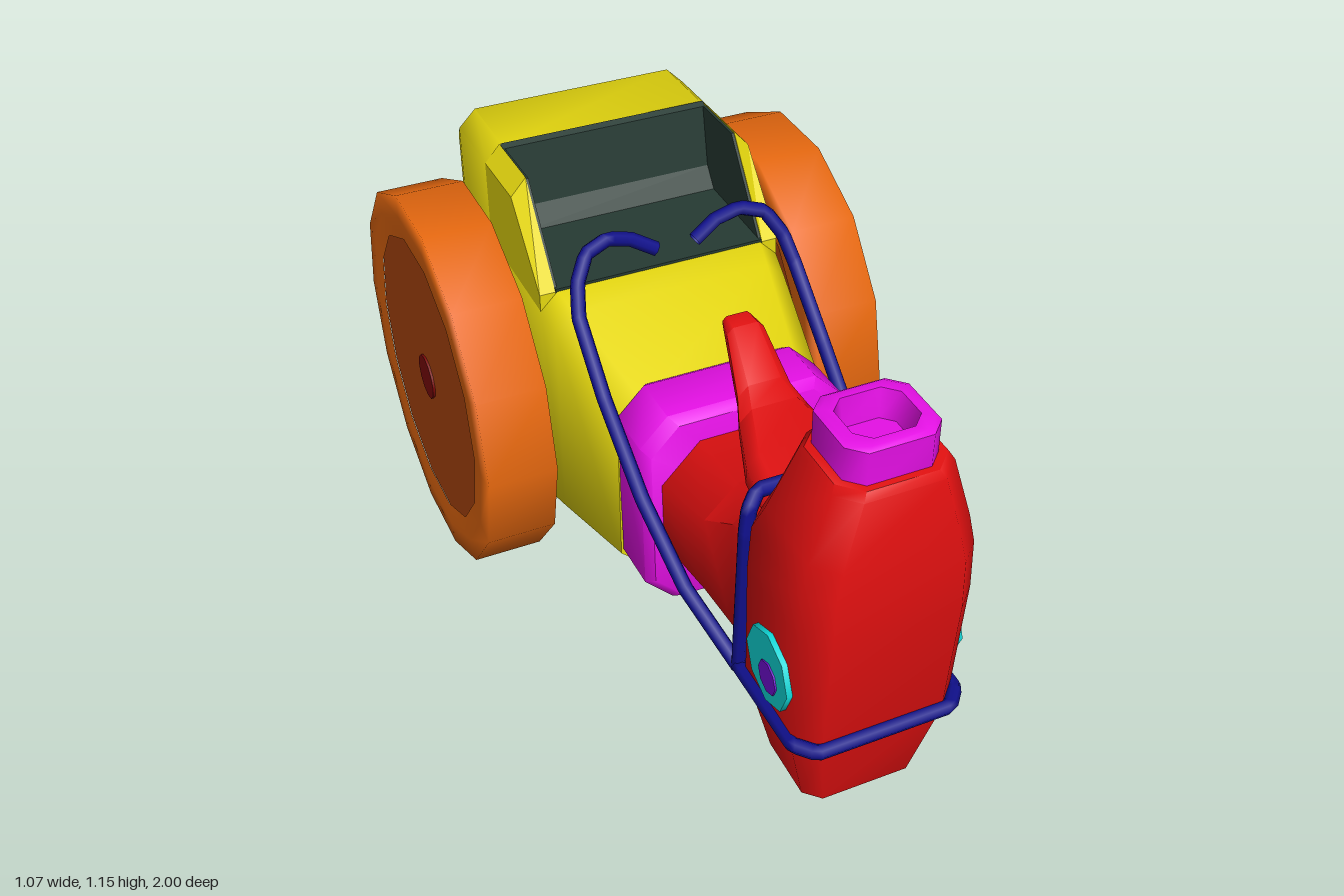
import * as THREE from 'three';
import { toCreasedNormals } from 'three/addons/utils/BufferGeometryUtils.js';

const V = (x, y, z) => new THREE.Vector3(x, y, z);
const mat = (name, color) => {
  const m = new THREE.MeshStandardMaterial({ color });
  m.name = name;
  return m;
};

// Chamfered rectangle in a (u, v) plane at height w; axis 'z' maps to (u,v,w), axis 'y' to (v,w,u)
function octagon(axis, u0, u1, v0, v1, c, w) {
  return [[u1, v0 + c], [u1, v1 - c], [u1 - c, v1], [u0 + c, v1],
    [u0, v1 - c], [u0, v0 + c], [u0 + c, v0], [u1 - c, v0]]
    .map(([u, v]) => axis === 'z' ? [u, v, w] : [v, w, u]);
}

// Skin over a series of rings running along the positive axis, capped at both ends
function loft(rings, crease = 0.85) {
  const n = rings[0].length, index = [];
  const pos = rings.flat();
  for (let r = 0; r < rings.length - 1; r++) {
    for (let i = 0; i < n; i++) {
      const a = r * n + i, b = r * n + (i + 1) % n;
      index.push(a, b, b + n, a, b + n, a + n);
    }
  }
  const last = (rings.length - 1) * n;
  for (let i = 1; i < n - 1; i++) {
    index.push(0, i + 1, i, last, last + i, last + i + 1);
  }
  const g = new THREE.BufferGeometry();
  g.setAttribute('position', new THREE.Float32BufferAttribute(pos.flat(), 3));
  g.setIndex(index);
  return toCreasedNormals(g, crease);
}

// Ring lists: z rings [z, halfWidth, y0, y1, chamfer], y rings [y, z0, z1, halfWidth, chamfer]
const loftZ = list => loft(list.map(([z, h, y0, y1, c]) => octagon('z', -h, h, y0, y1, c, z)));
const loftY = list => loft(list.map(([y, z0, z1, h, c]) => octagon('y', z0, z1, -h, h, c, y)));

// Side profile of [z, y] points extruded across x from x0 to x1
function slab(profile, x0, x1) {
  const shape = new THREE.Shape(profile.map(([z, y]) => new THREE.Vector2(-z, y)));
  const g = new THREE.ExtrudeGeometry(shape, { depth: x1 - x0, bevelEnabled: false });
  return g.rotateY(Math.PI / 2).translate(x0, 0, 0);
}

// Strap following straight runs between points
function strap(points, steps) {
  const curve = new THREE.CatmullRomCurve3(points.map(p => V(...p)), false, 'catmullrom', 0);
  return new THREE.TubeGeometry(curve, steps, 0.018, 7);
}

export function createModel() {
  const root = new THREE.Group();
  const yellow = mat('yellow', 0xe6d80f);
  const red = mat('red', 0xe01010);
  const magenta = mat('magenta', 0xe610e6);
  const orange = mat('orange', 0xe6680f);
  const rust = mat('rust', 0xb0470f);
  const maroon = mat('maroon', 0x800a0a);
  const green = mat('dark green', 0x263a33);
  const navy = mat('navy', 0x10108c);
  const cyan = mat('cyan', 0x10dada);
  const purple = mat('purple', 0x7410d8);
  navy.side = THREE.DoubleSide;

  const add = (name, geometry, material, parent = root) => {
    const m = new THREE.Mesh(geometry, material);
    m.name = name;
    parent.add(m);
    return m;
  };

  // Cart body, with a sunken panel at the back and a notch for the seat
  add('cartBody', loftZ([
    [-0.765, 0.235, 0.25, 0.98, 0.02],
    [-0.785, 0.24, 0.245, 0.985, 0.02],
    [-0.785, 0.255, 0.23, 1.0, 0.03],
    [-0.8, 0.26, 0.225, 1.005, 0.03],
    [-0.8, 0.305, 0.178, 1.035, 0.04],
    [-0.76, 0.313, 0.178, 1.08, 0.045],
    [-0.54, 0.315, 0.185, 1.085, 0.045],
    [-0.54, 0.315, 0.185, 0.865, 0.045],
    [-0.19, 0.315, 0.205, 0.865, 0.045],
    [-0.12, 0.305, 0.21, 0.845, 0.05],
    [0.15, 0.26, 0.24, 0.755, 0.06],
  ]), yellow);

  // Seat
  add('seat', slab([[-0.19, 0.872], [-0.19, 0.84], [-0.545, 0.84], [-0.545, 1.088],
    [-0.53, 1.08], [-0.5, 0.925], [-0.46, 0.875]], -0.274, 0.274), green);

  // Seat side walls, with their outer top edge lowered to a chamfer
  const wall = [[-0.19, 0.865], [-0.36, 1.09], [-0.55, 1.085], [-0.55, 0.8], [-0.19, 0.8]];
  for (const s of [1, -1]) {
    const g = slab(wall, s > 0 ? 0.275 : -0.315, s > 0 ? 0.315 : -0.275);
    const p = g.attributes.position;
    for (let i = 0; i < p.count; i++) {
      if (Math.abs(p.getX(i)) > 0.3 && p.getY(i) > 1) p.setY(i, p.getY(i) - 0.045);
    }
    g.computeVertexNormals();
    add('seatSide', g, yellow);
    const lining = wall.map(([z, y]) => [z, y - 0.004]);
    add('seatLining', slab(lining, s * 0.272 - 0.004, s * 0.272 + 0.004), green);
  }

  // Wheels
  for (const s of [1, -1]) {
    const wheel = new THREE.Group();
    wheel.name = s > 0 ? 'leftWheel' : 'rightWheel';
    const profile = [[0.38, -0.086], [0.44, -0.09], [0.496, -0.088], [0.496, 0.088], [0.44, 0.09], [0.38, 0.086]];
    const tyre = new THREE.LatheGeometry(profile.map(([r, y]) => new THREE.Vector2(r, y)), 14);
    add('tyre', tyre, orange, wheel);
    add('wheelDisc', new THREE.CylinderGeometry(0.385, 0.385, 0.168, 14), rust, wheel);
    add('hub', new THREE.CylinderGeometry(0.06, 0.06, 0.18, 12), maroon, wheel);
    wheel.rotation.z = Math.PI / 2;
    wheel.position.set(s * 0.447, 0.485, -0.5);
    root.add(wheel);
  }

  // Collar joining the cart to the neck
  add('collar', loftZ([
    [0.13, 0.245, 0.255, 0.765, 0.07],
    [0.15, 0.257, 0.243, 0.777, 0.07],
    [0.285, 0.257, 0.243, 0.777, 0.07],
    [0.31, 0.24, 0.26, 0.76, 0.07],
  ]).rotateX(-0.04).translate(0, 0, 0.02), magenta);

  // Neck
  add('neck', loftZ([
    [0.28, 0.22, 0.35, 0.715, 0.1],
    [0.48, 0.19, 0.36, 0.725, 0.08],
    [0.6, 0.18, 0.375, 0.785, 0.06],
    [0.72, 0.175, 0.39, 0.82, 0.05],
  ]), red);

  // Backswept horn behind the head
  add('horn', loftZ([
    [0.235, 0.035, 0.965, 0.99, 0.01],
    [0.28, 0.045, 0.925, 0.988, 0.015],
    [0.38, 0.065, 0.825, 0.9, 0.025],
    [0.43, 0.085, 0.79, 0.875, 0.03],
    [0.54, 0.12, 0.74, 0.845, 0.03],
    [0.7, 0.14, 0.74, 0.82, 0.03],
  ]), red);

  // Head, hollow underneath
  add('head', loftY([
    [0.2, 0.735, 0.89, 0.1, 0.03],
    [0.155, 0.725, 0.9, 0.115, 0.03],
    [0.155, 0.7, 0.925, 0.14, 0.035],
    [0.38, 0.66, 0.975, 0.195, 0.05],
    [0.7, 0.66, 0.998, 0.198, 0.05],
    [0.82, 0.67, 0.994, 0.196, 0.05],
    [0.89, 0.7, 0.988, 0.182, 0.05],
    [1.045, 0.74, 0.977, 0.135, 0.045],
    [1.062, 0.75, 0.965, 0.125, 0.045],
  ]), red);

  // Open spout on top of the head
  add('spout', loftY([
    [1.04, 0.755, 0.95, 0.106, 0.035],
    [1.14, 0.755, 0.95, 0.106, 0.035],
    [1.147, 0.765, 0.94, 0.096, 0.035],
    [1.147, 0.785, 0.92, 0.075, 0.03],
    [1.08, 0.795, 0.91, 0.065, 0.025],
  ]), magenta);

  // Eyes
  for (const s of [1, -1]) {
    const disc = (name, r, x, y, z, m) => {
      const g = new THREE.CylinderGeometry(r, r, 0.02, 8).rotateZ(Math.PI / 2);
      add(name, g, m).position.set(s * x, y, z);
    };
    disc('eye', 0.095, 0.2, 0.525, 0.835, cyan);
    disc('pupil', 0.04, 0.204, 0.507, 0.845, purple);
  }

  // Bridle: nose band around the front, cheek straps joined behind the head
  const mirrored = half => [...half, ...half.map(([x, y, z]) => [-x, y, z]).reverse()];
  add('noseBand', strap(mirrored([[0.19, 0.37, 0.645], [0.2, 0.388, 0.7], [0.197, 0.39, 0.94], [0.16, 0.39, 0.982]]), 80), navy);
  add('cheekStrap', strap(mirrored([[0.195, 0.37, 0.675], [0.193, 0.78, 0.69], [0.185, 0.835, 0.685], [0.155, 0.86, 0.662]]), 90), navy);

  // Reins sweeping back to curled ends above the cart
  const rein = [[0.195, 0.375, 0.675], [0.25, 0.49, 0.51], [0.275, 0.62, 0.33], [0.282, 0.77, 0.13],
    [0.28, 0.9, -0.02], [0.265, 0.965, -0.06], [0.23, 1.02, -0.09], [0.17, 1.035, -0.107],
    [0.11, 1.015, -0.112], [0.05, 0.98, -0.1]];
  for (const s of [1, -1]) {
    add(s > 0 ? 'leftRein' : 'rightRein', strap(rein.map(([x, y, z]) => [s * x, y, z]), 70), navy);
  }

  return root;
}
